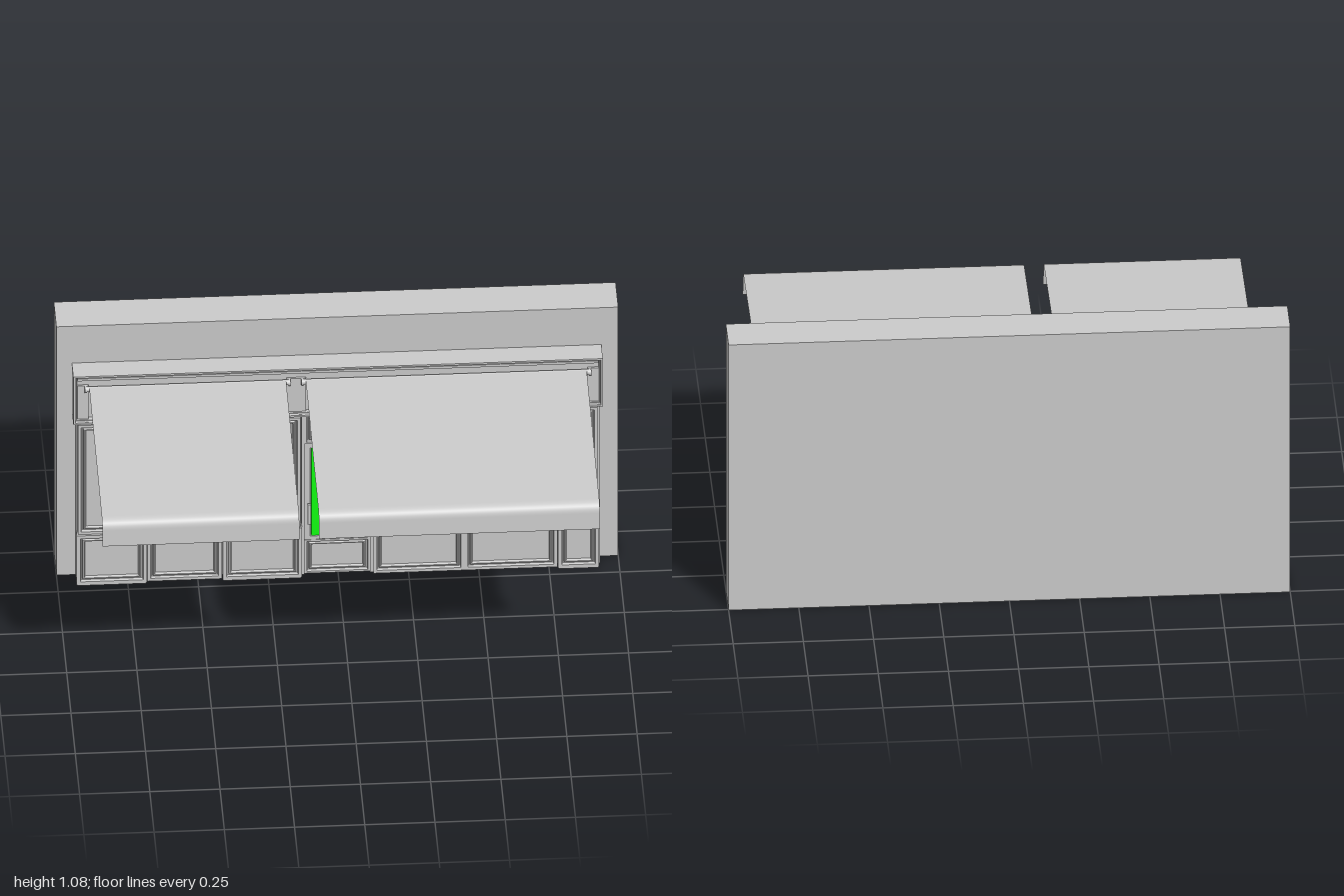
import * as THREE from 'three';

const grey = new THREE.MeshStandardMaterial({ color: 0xcccccc });
const sheet = new THREE.MeshStandardMaterial({ color: 0xcccccc, side: THREE.DoubleSide });
const green = new THREE.MeshStandardMaterial({ color: 0x11ff11 });

function add(parent, name, geometry, material = grey) {
  const mesh = new THREE.Mesh(geometry, material);
  mesh.name = name;
  parent.add(mesh);
  return mesh;
}

// Box given by its limits on each axis
function box(parent, name, x0, x1, y0, y1, z0, z1) {
  const mesh = add(parent, name, new THREE.BoxGeometry(x1 - x0, y1 - y0, z1 - z0));
  mesh.position.set((x0 + x1) / 2, (y0 + y1) / 2, (z0 + z1) / 2);
  return mesh;
}

// Mitred rectangular panel: profile is a list of [inset, z] from rim to middle
function panel(parent, name, x0, x1, y0, y1, profile) {
  const pos = [];
  const loops = profile.map(([i, z]) => [
    [x0 + i, y0 + i, z], [x1 - i, y0 + i, z], [x1 - i, y1 - i, z], [x0 + i, y1 - i, z],
  ]);
  const quad = (a, b, c, d) => pos.push(...a, ...b, ...c, ...a, ...c, ...d);
  for (let k = 0; k + 1 < loops.length; k++) {
    for (let s = 0; s < 4; s++) {
      const t = (s + 1) % 4;
      quad(loops[k][s], loops[k][t], loops[k + 1][t], loops[k + 1][s]);
    }
  }
  quad(...loops[loops.length - 1]);
  const g = new THREE.BufferGeometry();
  g.setAttribute('position', new THREE.Float32BufferAttribute(pos, 3));
  g.computeVertexNormals();
  return add(parent, name, g);
}

// Flat rim, sunk groove, raised bead, sunk field
const beaded = (f, rim = 0.011) => [
  [0, -0.33], [0, f], [rim, f], [rim + 0.003, f - 0.01], [rim + 0.007, f - 0.01],
  [rim + 0.01, f - 0.003], [rim + 0.014, f - 0.003], [rim + 0.018, f - 0.012],
];

// Pane with softly rounded corners
function pane(parent, name, x0, x1, y0, y1, z) {
  const r = 0.008, s = new THREE.Shape();
  s.moveTo(x0 + r, y0);
  s.lineTo(x1 - r, y0); s.quadraticCurveTo(x1, y0, x1, y0 + r);
  s.lineTo(x1, y1 - r); s.quadraticCurveTo(x1, y1, x1 - r, y1);
  s.lineTo(x0 + r, y1); s.quadraticCurveTo(x0, y1, x0, y1 - r);
  s.lineTo(x0, y0 + r); s.quadraticCurveTo(x0, y0, x0 + r, y0);
  const g = new THREE.ExtrudeGeometry(s, { depth: 0.006, bevelEnabled: false, curveSegments: 4 });
  add(parent, name, g, green).position.z = z - 0.006;
}

// Awning cloth: a smooth profile in z and y swept along x
function awning(parent, x0, x1) {
  const curve = new THREE.CurvePath();
  const v = (z, y) => new THREE.Vector2(z, y);
  const pts = [v(-0.275, 0.866), v(0.1, 0.843),
    ...new THREE.CubicBezierCurve(v(0.455, 0.821), v(0.485, 0.819), v(0.493, 0.806), v(0.495, 0.785)).getPoints(8),
    v(0.5, 0.72)];
  const pos = [], idx = [];
  pts.forEach((p, i) => {
    pos.push(x0, p.y, p.x, x1, p.y, p.x);
    if (i) idx.push(2 * i - 2, 2 * i, 2 * i - 1, 2 * i - 1, 2 * i, 2 * i + 1);
  });
  const g = new THREE.BufferGeometry();
  g.setAttribute('position', new THREE.Float32BufferAttribute(pos, 3));
  g.setIndex(idx);
  g.computeVertexNormals();
  add(parent, 'awningCloth', g, sheet);

  // Roller with an end cap on each side
  const rod = (name, a, b, r) => {
    const m = add(parent, name, new THREE.CylinderGeometry(r, r, b - a, 16));
    m.rotation.z = Math.PI / 2;
    m.position.set((a + b) / 2, 0.857, -0.276);
  };
  rod('awningRoller', x0 - 0.01, x1 + 0.01, 0.01);
  rod('rollerCap', x0 - 0.016, x0 - 0.008, 0.013);
  rod('rollerCap', x1 + 0.008, x1 + 0.016, 0.013);
}

export function createModel() {
  const model = new THREE.Group();
  model.name = 'shopFront';
  const group = (name) => {
    const g = new THREE.Group();
    g.name = name;
    model.add(g);
    return g;
  };

  // Wall and joinery backing
  box(model, 'wall', -1, 1, 0, 1.08, -0.505, -0.352);
  box(model, 'backing', -0.93, 0.93, 0, 0.712, -0.356, -0.325);
  for (const s of [-1, 1]) box(model, 'sideTrim', s * 0.927 - 0.005, s * 0.927 + 0.005, 0, 0.712, -0.355, -0.31);
  box(model, 'headTrim', -0.93, 0.93, 0.69, 0.712, -0.355, -0.31);

  // Sign fascia with a stepped rim and sunk field
  const fascia = group('fascia');
  panel(fascia, 'fasciaFrame', -0.945, 0.94, 0.712, 0.92, [
    [0, -0.354], [0, -0.265], [0.007, -0.265], [0.009, -0.276], [0.012, -0.276], [0.014, -0.29]]);
  box(fascia, 'fasciaUnderside', -0.94, 0.935, 0.713, 0.72, -0.354, -0.268);
  box(fascia, 'fasciaTopBead', -0.93, 0.925, 0.896, 0.906, -0.292, -0.272);
  for (const x of [-0.91, -0.15, 0.907]) {
    const w = x === -0.15 ? 0.035 : 0.02;
    box(fascia, 'awningBracket', x - w, x + w, 0.722, 0.868, -0.292, -0.282);
  }

  // Awnings
  const awnings = group('awnings');
  awning(awnings, -0.888, -0.187);
  awning(awnings, -0.117, 0.883);

  // Panelled pilasters: upper panel, base panel, plinth
  const pilasters = group('pilasters');
  for (const [a, b] of [[-0.932, -0.682], [-0.412, -0.13], [0.782, 0.928]]) {
    panel(pilasters, 'pilasterPanel', a + 0.005, b - 0.005, 0.218, 0.692, beaded(-0.288));
    panel(pilasters, 'pilasterBase', a, b, 0.005, 0.218, beaded(-0.28, 0.013));
    box(pilasters, 'pilasterPlinth', a + 0.003, b - 0.003, 0, 0.008, -0.33, -0.283);
  }

  // Windows over panelled stall risers
  const windows = group('windows');
  const bays = [
    { a: -0.68, b: -0.414, risers: [[-0.68, -0.414]] },
    { a: 0.125, b: 0.78, risers: [[0.125, 0.449], [0.449, 0.78]] },
  ];
  for (const { a, b, risers } of bays) {
    panel(windows, 'windowFrame', a, b, 0.215, 0.692, [
      [0, -0.33], [0, -0.305], [0.01, -0.305], [0.014, -0.316]]);
    pane(windows, 'windowPane', a + 0.018, b - 0.022, 0.23, 0.68, -0.312);
    box(windows, 'windowSill', a, b, 0.205, 0.22, -0.33, -0.291);
    for (const [c, d] of risers) panel(windows, 'stallRiser', c, d, 0, 0.21, beaded(-0.295, 0.012));
  }

  // Door set with transom, pane, kick panel and handle
  const door = group('door');
  panel(door, 'transom', -0.12, 0.118, 0.565, 0.692, beaded(-0.305, 0.008));
  for (const x of [-0.125, 0.12]) box(door, 'doorJamb', x - 0.006, x + 0.006, 0, 0.692, -0.33, -0.303);
  panel(door, 'doorLeaf', -0.119, 0.114, 0.14, 0.562, [
    [0, -0.33], [0, -0.312], [0.02, -0.312], [0.024, -0.32]]);
  pane(door, 'doorPane', -0.095, 0.085, 0.155, 0.545, -0.314);
  panel(door, 'kickPanel', -0.119, 0.114, 0, 0.145, beaded(-0.31, 0.008));
  box(door, 'doorHandle', -0.109, -0.097, 0.225, 0.31, -0.299, -0.29);
  for (const y of [0.235, 0.292]) box(door, 'handlePost', -0.107, -0.099, y, y + 0.008, -0.315, -0.297);

  return model;
}
